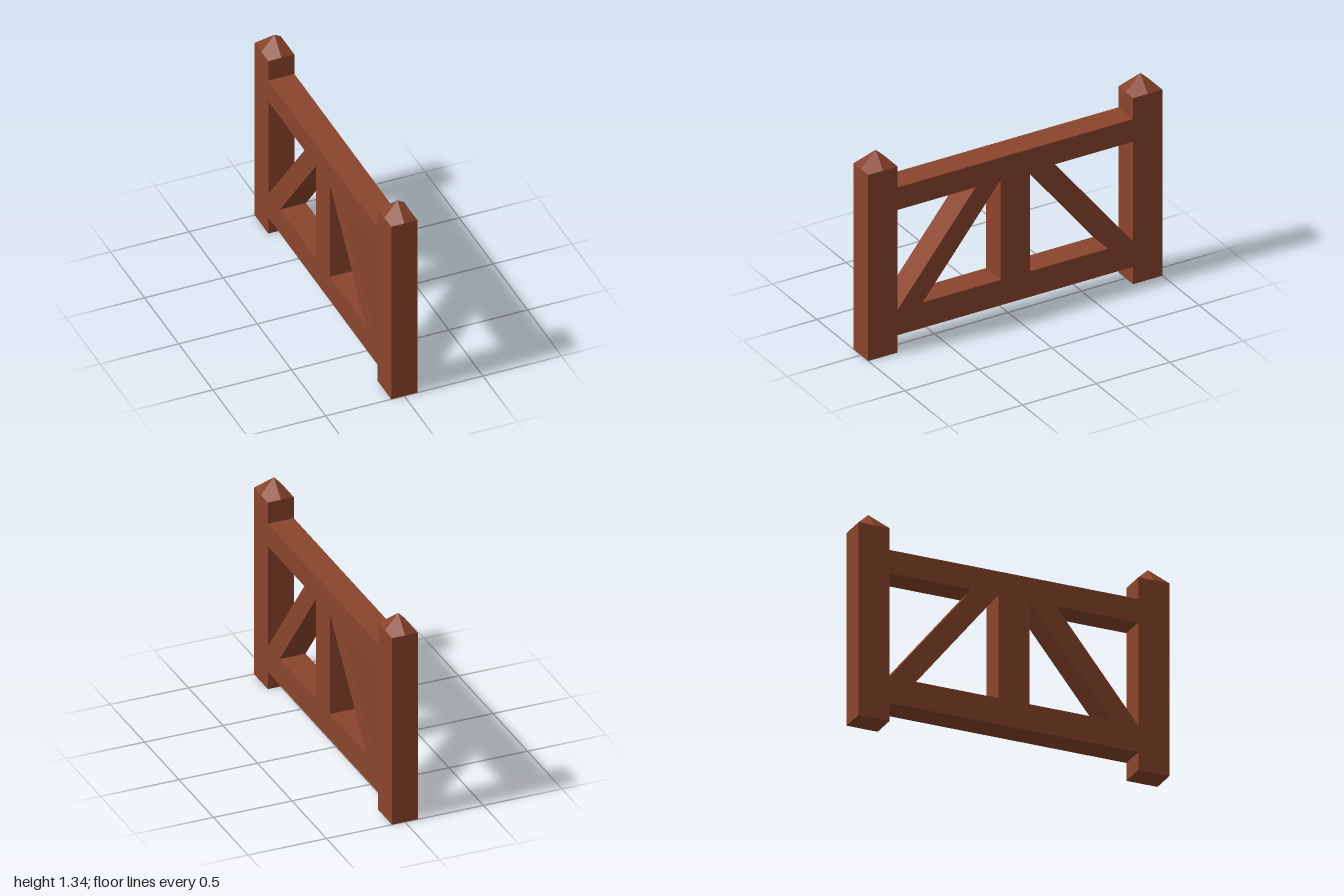
import * as THREE from 'three';

const WIDTH = 0.166;
const POST_TOP = 1.24;
const wood = new THREE.MeshStandardMaterial({ color: 0x8b452d });

// Flat timber outlined in (z, y) and extruded across x
function timber(name, outline) {
  const shape = new THREE.Shape(outline.map(([z, y]) => new THREE.Vector2(z, y)));
  const geometry = new THREE.ExtrudeGeometry(shape, { depth: WIDTH, bevelEnabled: false });
  geometry.translate(0, 0, -WIDTH / 2).rotateY(-Math.PI / 2);
  const mesh = new THREE.Mesh(geometry, wood);
  mesh.name = name;
  return mesh;
}

const beam = (name, z0, z1, y0, y1) =>
  timber(name, [[z0, y0], [z1, y0], [z1, y1], [z0, y1]]);

// Pointed cap of four corner facets, each evenly shaded
function postCap(z) {
  const a = WIDTH / 2, b = 0.1, h = 0.1;
  const positions = [], normals = [];
  for (const sx of [1, -1]) {
    for (const sz of [1, -1]) {
      const apex = [0, h, 0], corner = [sx * a, 0, sz * b];
      const sideMid = [sx * a, 0, 0], endMid = [0, 0, sz * b];
      const [first, last] = sx * sz > 0 ? [endMid, sideMid] : [sideMid, endMid];
      positions.push(...apex, ...first, ...corner, ...apex, ...corner, ...last);
      const n = new THREE.Vector3(sx * h * b, 2 * a * b, sz * h * a).normalize();
      for (let i = 0; i < 6; i++) normals.push(n.x, n.y, n.z);
    }
  }
  const geometry = new THREE.BufferGeometry();
  geometry.setAttribute('position', new THREE.Float32BufferAttribute(positions, 3));
  geometry.setAttribute('normal', new THREE.Float32BufferAttribute(normals, 3));
  const mesh = new THREE.Mesh(geometry, wood);
  mesh.name = 'postCap';
  mesh.position.set(0, POST_TOP, z);
  return mesh;
}

export function createModel() {
  const fence = new THREE.Group();
  fence.name = 'fence';

  // Rails and central upright
  fence.add(
    beam('bottomRail', -0.8, 0.8, 0.115, 0.285),
    beam('topRail', -0.8, 0.8, 0.95, 1.1),
    beam('centreUpright', -0.1, 0.1, 0.285, 0.95)
  );

  // End posts, caps and diagonal braces, mirrored front to back
  for (const [end, s] of [['front', 1], ['back', -1]]) {
    fence.add(
      beam(end + 'Post', Math.min(s * 0.8, s), Math.max(s * 0.8, s), 0, POST_TOP),
      postCap(s * 0.9),
      timber(end + 'Brace', [[s * 0.8, 0.285], [s * 0.63, 0.285], [s * 0.1, 0.95], [s * 0.27, 0.95]])
    );
  }
  return fence;
}
